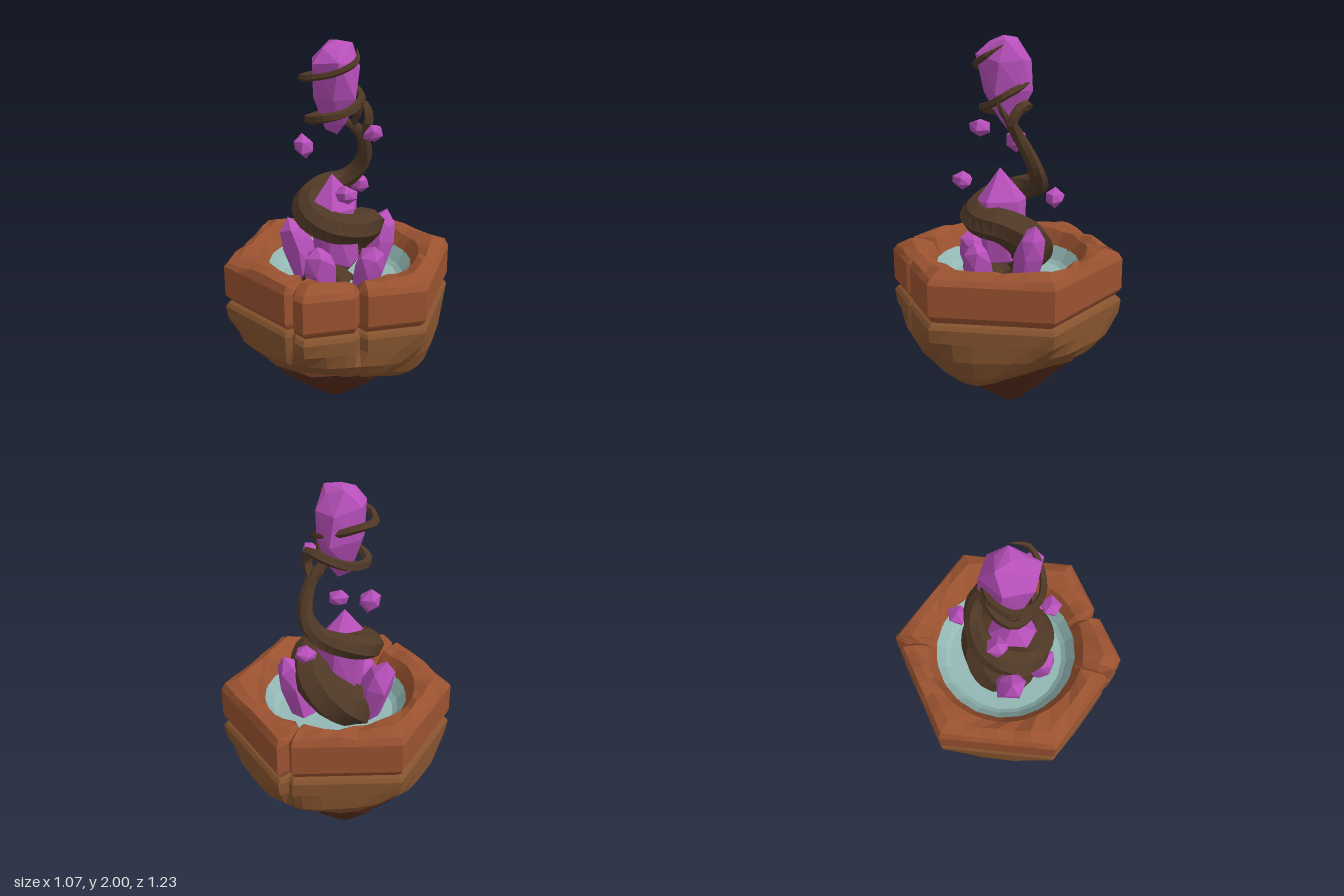
import * as THREE from 'three';
import { ConvexGeometry } from 'three/addons/geometries/ConvexGeometry.js';

const V = (x, y, z) => new THREE.Vector3(x, y, z);
const rad = THREE.MathUtils.degToRad;
const mat = (color, side = THREE.FrontSide) => new THREE.MeshStandardMaterial({ color, flatShading: true, side });

// seeded random in -1..1
function seeded(seed) {
  let s = seed * 7919 + 17;
  return () => {
    s = (s * 16807) % 2147483647;
    return (s / 2147483647) * 2 - 1;
  };
}

function mesh(name, geometry, material) {
  const m = new THREE.Mesh(geometry, material);
  m.name = name;
  return m;
}

// skin closed rings of equal length, ordered from bottom to top
function loft(rings) {
  const n = rings[0].length, index = [];
  for (let k = 0; k < rings.length - 1; k++) {
    for (let i = 0; i < n; i++) {
      const j = (i + 1) % n, a = k * n + i, b = k * n + j;
      index.push(a, b, b + n, a, b + n, a + n);
    }
  }
  const g = new THREE.BufferGeometry().setFromPoints(rings.flat());
  g.setIndex(index);
  g.computeVertexNormals();
  return g;
}

// hexagon with corners at front and back, as a polar radius
const APOTHEM = 0.533;
function hexRadius(a) {
  const step = Math.PI / 3;
  const local = ((a % step) + step) % step - step / 2;
  return APOTHEM / Math.cos(local);
}

// cracks: angle from the front, half width, depth
const cracks = [[-9, 3, 0.05], [28, 3.5, 0.05], [183, 3, 0.05]];
const angles = [];
for (let d = 0; d < 360; d += 10) {
  if (!cracks.some(([c, w]) => Math.abs(((d - c + 540) % 360) - 180) < w)) angles.push(d);
}
cracks.forEach(([c, w]) => angles.push((c - w + 360) % 360, (c + 360) % 360, (c + w + 360) % 360));
angles.sort((a, b) => a - b);
const crackAt = (d) => {
  const c = cracks.find(([m]) => (m + 360) % 360 === d);
  return c ? c[2] : 0;
};

// tapering vine through [x, y, z, radius] points
function vine(name, pts, segments, sides, material) {
  const curve = new THREE.CatmullRomCurve3(pts.map((p) => V(p[0], p[1], p[2])), false, 'centripetal');
  const frames = curve.computeFrenetFrames(segments, false);
  const rings = [];
  for (let k = 0; k <= segments; k++) {
    const u = k / segments, t = curve.getUtoTmapping(u);
    const f = t * (pts.length - 1), i = Math.min(Math.floor(f), pts.length - 2);
    const r = THREE.MathUtils.lerp(pts[i][3], pts[i + 1][3], f - i);
    const center = curve.getPoint(t), ring = [];
    for (let s = 0; s < sides; s++) {
      const a = (s / sides) * Math.PI * 2 + u * 3;
      const q = r * (1 + 0.08 * Math.sin(s * 2.4 + k * 0.4));
      ring.push(center.clone()
        .addScaledVector(frames.normals[k], Math.cos(a) * q)
        .addScaledVector(frames.binormals[k], Math.sin(a) * q));
    }
    rings.push(ring);
  }
  return mesh(name, loft(rings), material);
}

// faceted crystal from foot to tip; rows are [fraction along, radius factor]
function crystal(name, foot, tip, r, seed, material, rows, sides = 6) {
  const rnd = seeded(seed), axis = tip.clone().sub(foot);
  const turn = new THREE.Quaternion().setFromUnitVectors(V(0, 1, 0), axis.clone().normalize());
  const points = [foot, tip];
  rows.forEach(([t, f], k) => {
    for (let i = 0; i < sides; i++) {
      const a = ((i + k * 0.2 + rnd() * 0.15) / sides) * Math.PI * 2;
      const q = r * f * (1 + rnd() * 0.1);
      points.push(V(Math.sin(a) * q, rnd() * r * 0.2, Math.cos(a) * q)
        .applyQuaternion(turn).addScaledVector(axis, t).add(foot));
    }
  });
  return mesh(name, new ConvexGeometry(points), material);
}

export function createModel() {
  const model = new THREE.Group();
  const purple = mat(0xb850bb), bark = mat(0x4f3826, THREE.DoubleSide);

  // hexagonal rim: [y, hexagon scale, share of circle, circle radius]
  const rnd = seeded(5);
  const rimRows = [
    [0.65, 0.93, 0, 0], [0.685, 0.985, 0, 0], [0.70, 1, 0, 0], [0.86, 1, 0, 0], [0.895, 0.965, 0, 0],
    [0.915, 0.88, 0.2, 0.45], [0.895, 0, 1, 0.42], [0.82, 0, 1, 0.377], [0.72, 0, 1, 0.345],
  ];
  const rim = loft(rimRows.map(([y, s, mix, c], k) => angles.map((d) => {
    const a = rad(d), cut = crackAt(d);
    const r = (hexRadius(a) * s) * (1 - mix) + c * mix - (k < 6 ? cut : -cut * 0.2);
    const top = k >= 4 && k <= 6 ? rnd() * 0.013 - cut * 0.7 : 0;
    return V(Math.sin(a) * r, y + top, Math.cos(a) * r - mix * 0.01);
  })));
  model.add(mesh('basinRim', rim, mat(0x9a5230, THREE.DoubleSide)));

  // rounded rock tier: [y, hexagon scale, largest radius]
  const rockRows = [
    [0.41, 0, 0], [0.385, 0.6, 0.32], [0.375, 0.84, 0.445], [0.42, 0.93, 0.495], [0.475, 0.995, 0.55],
    [0.56, 1, 0.605], [0.63, 1, 0.62], [0.65, 0.975, 0.61], [0.665, 0.93, 0.6], [0.70, 0.93, 0.6],
  ];
  const rock = loft(rockRows.map(([y, s, cap], k) => angles.map((d) => {
    const a = rad(d);
    // overhanging lump on the +x side
    const lump = k > 0 && k < 4 ? 0.055 * Math.exp(-(((d - 75) / 28) ** 2)) : 0;
    let r = Math.min(hexRadius(a) * s, cap) + lump * 0.3;
    if (k > 0 && k < 4) r += rnd() * 0.01;
    if (k > 4) r -= crackAt(d) * 0.7;
    const wave = k > 1 && k < 5 ? 0.012 * Math.sin(a * 3 + 1) : 0;
    return V(Math.sin(a) * r, y + wave - lump, Math.cos(a) * r);
  })));
  model.add(mesh('rockTier', rock, mat(0x85532e, THREE.DoubleSide)));

  // pointed underside: [y, radius, x shift, z shift]
  const tipRows = [
    [0, 0, -0.035, -0.02], [0.015, 0.06, -0.035, -0.02], [0.14, 0.21, -0.03, -0.005],
    [0.28, 0.365, -0.025, 0.01], [0.385, 0.455, -0.01, 0.005], [0.43, 0.4, 0, 0],
  ];
  const tip = loft(tipRows.map(([y, r, x, z], k) => Array.from({ length: 10 }, (_, i) => {
    const a = ((i + (k % 2) * 0.3) / 10) * Math.PI * 2, q = r * (1 + rnd() * 0.04);
    return V(Math.sin(a) * q + x, y + (k > 1 ? rnd() * 0.015 : 0), Math.cos(a) * q + z);
  })));
  model.add(mesh('rockPoint', tip, mat(0x5a2d1c)));

  // shallow pool
  const poolProfile = [[0, 0.72], [0.31, 0.74], [0.335, 0.76], [0.38, 0.825]];
  const pool = mesh('pool', new THREE.LatheGeometry(poolProfile.map((p) => new THREE.Vector2(...p)), 20),
    mat(0x93b8b5, THREE.DoubleSide));
  pool.position.z = -0.01;
  model.add(pool);

  // thick trunk rooted at the front, winding around and rising as a stem
  model.add(vine('coiledTrunk', [
    [0.07, 0.70, 0.08, 0.09], [-0.04, 0.74, 0.07, 0.12], [-0.1, 0.79, -0.02, 0.125], [-0.04, 0.87, -0.11, 0.125],
    [0.075, 0.975, -0.115, 0.11], [0.14, 1.05, -0.01, 0.092], [0.11, 1.06, 0.1, 0.085], [0, 1.075, 0.155, 0.085],
    [-0.11, 1.11, 0.12, 0.085], [-0.165, 1.16, 0.01, 0.077],
    [-0.12, 1.205, -0.11, 0.065], [0, 1.25, -0.17, 0.052], [0.08, 1.34, -0.165, 0.042], [0.1, 1.46, -0.11, 0.034],
    [0.08, 1.55, -0.05, 0.03], [0.02, 1.6, 0, 0.015],
  ], 56, 8, bark));

  // thin tendril winding twice around the large crystal
  model.add(vine('tendril', [
    [0.09, 1.5, -0.08, 0.03], [0.14, 1.59, -0.05, 0.026], [0.11, 1.66, -0.09, 0.027], [0, 1.65, -0.11, 0.028],
    [-0.1, 1.61, -0.05, 0.027], [-0.145, 1.605, 0.05, 0.026], [-0.06, 1.63, 0.125, 0.024], [0.07, 1.66, 0.08, 0.022],
    [0.11, 1.72, -0.02, 0.021], [0.0, 1.77, -0.1, 0.021], [-0.13, 1.81, -0.06, 0.02], [-0.175, 1.815, 0.06, 0.02],
    [-0.1, 1.835, 0.155, 0.018], [0.03, 1.865, 0.145, 0.017], [0.11, 1.91, 0.08, 0.015], [0.09, 1.96, 0, 0.002],
  ], 56, 5, bark));
  model.add(vine('tendrilFork', [
    [0.1, 1.5, -0.08, 0.022], [0.06, 1.56, -0.04, 0.02], [0.1, 1.64, 0.01, 0.016], [0.13, 1.7, 0.03, 0.004],
  ], 12, 5, bark));

  // large crystal held by the tendril
  model.add(crystal('largeCrystal', V(-0.015, 1.52, -0.01), V(-0.015, 2.0, 0.015), 0.137, 3, purple,
    [[0.12, 0.4], [0.45, 0.9], [0.78, 1], [0.93, 0.6]]));

  // crystals growing out of the pool: foot, tip, radius
  const shaft = [[0.08, 0.8], [0.6, 1], [0.84, 0.8]];
  model.add(crystal('middleCrystal', V(-0.02, 0.8, 0.01), V(-0.03, 1.325, 0.035), 0.13, 8, purple,
    [[0.1, 0.9], [0.66, 1]]));
  [
    [[-0.15, 0.68, 0.03], [-0.27, 1.07, 0.05], 0.09],
    [[0.13, 0.68, -0.11], [0.215, 1.085, -0.18], 0.08],
    [[0.15, 0.68, 0.09], [0.225, 0.99, 0.135], 0.078],
    [[-0.04, 0.68, 0.14], [-0.06, 0.98, 0.2], 0.085],
  ].forEach(([foot, top, r], i) =>
    model.add(crystal('poolCrystal' + (i + 1), V(...foot), V(...top), r, 20 + i, purple, shaft, 5)));

  // small crystals floating around the vine: centre, half height
  [
    [0.2, 1.57, 0.1, 0.042], [-0.2, 1.44, -0.03, 0.068], [0.1, 1.28, 0.21, 0.048], [0.04, 1.19, -0.26, 0.055],
  ].forEach(([x, y, z, h], i) =>
    model.add(crystal('floatingCrystal' + (i + 1), V(x + 0.01, y - h, z), V(x - 0.01, y + h, z), 0.06, 40 + i,
      purple, [[0.35, 0.85], [0.7, 0.9]], 5)));

  return model;
}
